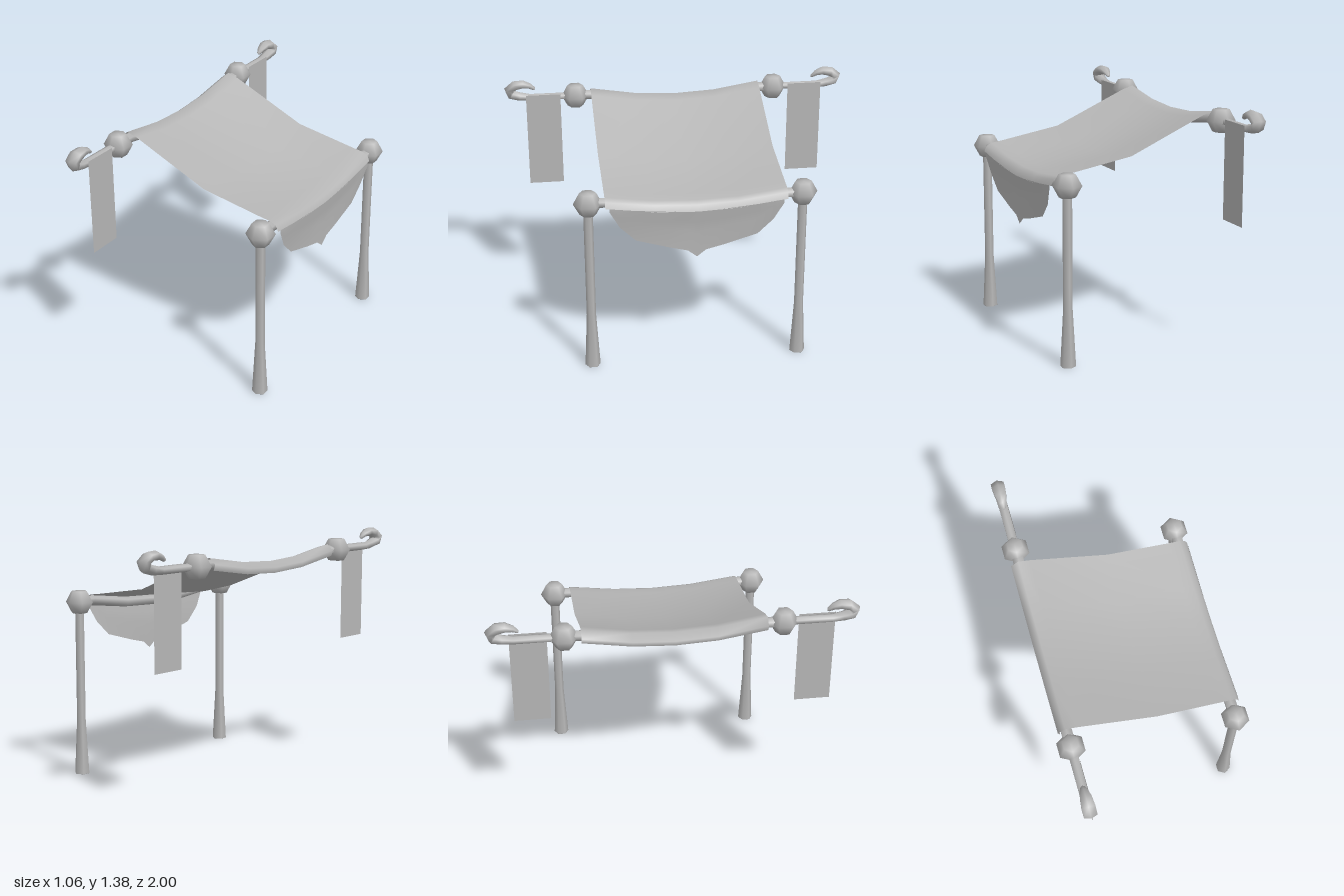
import * as THREE from 'three';

const BACK_X = -0.46, FRONT_X = 0.46, BACK_Y = 1.275, FRONT_Y = 1.0, POST_Z = 0.587;

// Smooth surface through a grid of points; closed joins the last column to the first
function gridSurface(rows, closed = false) {
  const n = rows[0].length, cols = closed ? n : n - 1, index = [];
  for (let i = 0; i < rows.length - 1; i++) {
    for (let j = 0; j < cols; j++) {
      const k = (j + 1) % n;
      const a = i * n + j, b = a + n, c = (i + 1) * n + k, d = i * n + k;
      index.push(a, b, d, b, c, d);
    }
  }
  const geo = new THREE.BufferGeometry();
  geo.setAttribute('position', new THREE.Float32BufferAttribute(rows.flat(2), 3));
  geo.setIndex(index);
  geo.computeVertexNormals();
  return geo;
}

// Six-sided tube along a path of [z, y, radius in plane, radius across]
function sweep(path) {
  const rows = path.map(([z, y, r, rx], i) => {
    const p = path[Math.max(i - 1, 0)], q = path[Math.min(i + 1, path.length - 1)];
    const len = Math.hypot(q[0] - p[0], q[1] - p[1]);
    const tz = (q[0] - p[0]) / len, ty = (q[1] - p[1]) / len;
    return Array.from({ length: 6 }, (_, j) => {
      const a = j * Math.PI / 3, u = r * Math.cos(a);
      return [rx * Math.sin(a), y + u * tz, z - u * ty];
    });
  });
  return gridSurface(rows, true);
}

// Fraction of the full sag at a given z
function sag(z) {
  const a = Math.abs(z);
  return a < 0.23 ? 1 - 0.22 * a / 0.23 : Math.max(0, 0.78 * (0.495 - a) / 0.265);
}

export function createModel() {
  const model = new THREE.Group();
  const grey = new THREE.MeshStandardMaterial({ color: 0xb6b6b6 });
  grey.name = 'plain grey';
  grey.side = THREE.DoubleSide;
  const add = (name, geo, x = 0, y = 0, z = 0) => {
    const mesh = new THREE.Mesh(geo, grey);
    mesh.name = name;
    mesh.position.set(x, y, z);
    model.add(mesh);
    return mesh;
  };
  const lathe = (pts) =>
    new THREE.LatheGeometry(pts.map(([r, y]) => new THREE.Vector2(r, y)), 6);

  // Flared legs and the knobs at the four corners
  const leg = lathe([[0, 0], [0.043, 0], [0.043, 0.001], [0.026, 0.32], [0.026, 0.97]]);
  const knob = lathe([[0, -0.063], [0.046, -0.062], [0.08, 0], [0.046, 0.062], [0.0, 0.063]]);
  for (const s of [1, -1]) {
    add('frontLeg', leg, FRONT_X, 0, s * POST_Z);
    add('frontKnob', knob, FRONT_X, FRONT_Y, s * POST_Z);
    add('backKnob', knob, BACK_X, BACK_Y, s * POST_Z);
  }

  // Sagging bars under the cloth
  const stations = [-0.56, -0.495, -0.23, 0, 0.23, 0.495, 0.56];
  const bar = (drop) => sweep(stations.map((z) => [z, -drop * sag(z), 0.029, 0.034]));
  add('frontBar', bar(0.045), FRONT_X, FRONT_Y, 0);
  add('backBar', bar(0.055), BACK_X, BACK_Y, 0);

  // Rods beyond the back knobs, ending in a curled hook
  const hook = sweep([
    [0.6, 0, 0.021, 0.028], [0.85, 0, 0.021, 0.028], [0.91, 0.008, 0.026, 0.032],
    [0.958, 0.022, 0.029, 0.04], [0.971, 0.05, 0.029, 0.042], [0.937, 0.076, 0.029, 0.042],
    [0.89, 0.082, 0.025, 0.036], [0.85, 0.07, 0.017, 0.024], [0.825, 0.052, 0.01, 0.012],
    [0.82, 0.046, 0, 0],
  ]);
  for (const s of [1, -1]) {
    add('hookRod', hook, BACK_X, BACK_Y, 0).rotation.y = s > 0 ? 0 : Math.PI;
    // Hanging banner on the inner side of the rod
    add('banner', new THREE.PlaneGeometry(0.2, 0.555), -0.434, 1.0175, s * 0.775)
      .rotation.y = Math.PI / 2;
  }

  // Canopy cloth: profile of [x, y, sag depth] wrapped over both bars
  const profile = [
    [-0.495, 1.248, 0.055], [-0.507, 1.28, 0.055], [-0.465, 1.312, 0.055],
    [-0.4, 1.293, 0.056], [0.04, 1.102, 0.06], [0.4, 1.042, 0.046],
    [0.465, 1.033, 0.045], [0.497, 1.018, 0.045], [0.512, 0.985, 0.045],
  ];
  const clothZ = [0.497, 0.23, 0, -0.23, -0.497];
  add('canopy', gridSurface(profile.map(([x, y, d]) =>
    clothZ.map((z) => [x, y - d * sag(z), z]))));

  // Scalloped valance hanging from the front bar: [z, lower edge y]
  const half = [[0.475, 0.965], [0.42, 0.865], [0.335, 0.78], [0.15, 0.725], [0.05, 0.7]];
  const edge = [...half, [0, 0.66], ...half.map(([z, y]) => [-z, y]).reverse()];
  const valanceX = (y) => 0.494 + 0.019 * THREE.MathUtils.clamp((y - 0.82) / 0.14, 0, 1);
  add('valance', gridSurface([0, 0.25, 0.5, 1].map((t) => edge.map(([z, low]) => {
    const y = THREE.MathUtils.lerp(0.987 - 0.045 * sag(z), low, t);
    return [valanceX(y), y, z];
  }))));

  return model;
}
